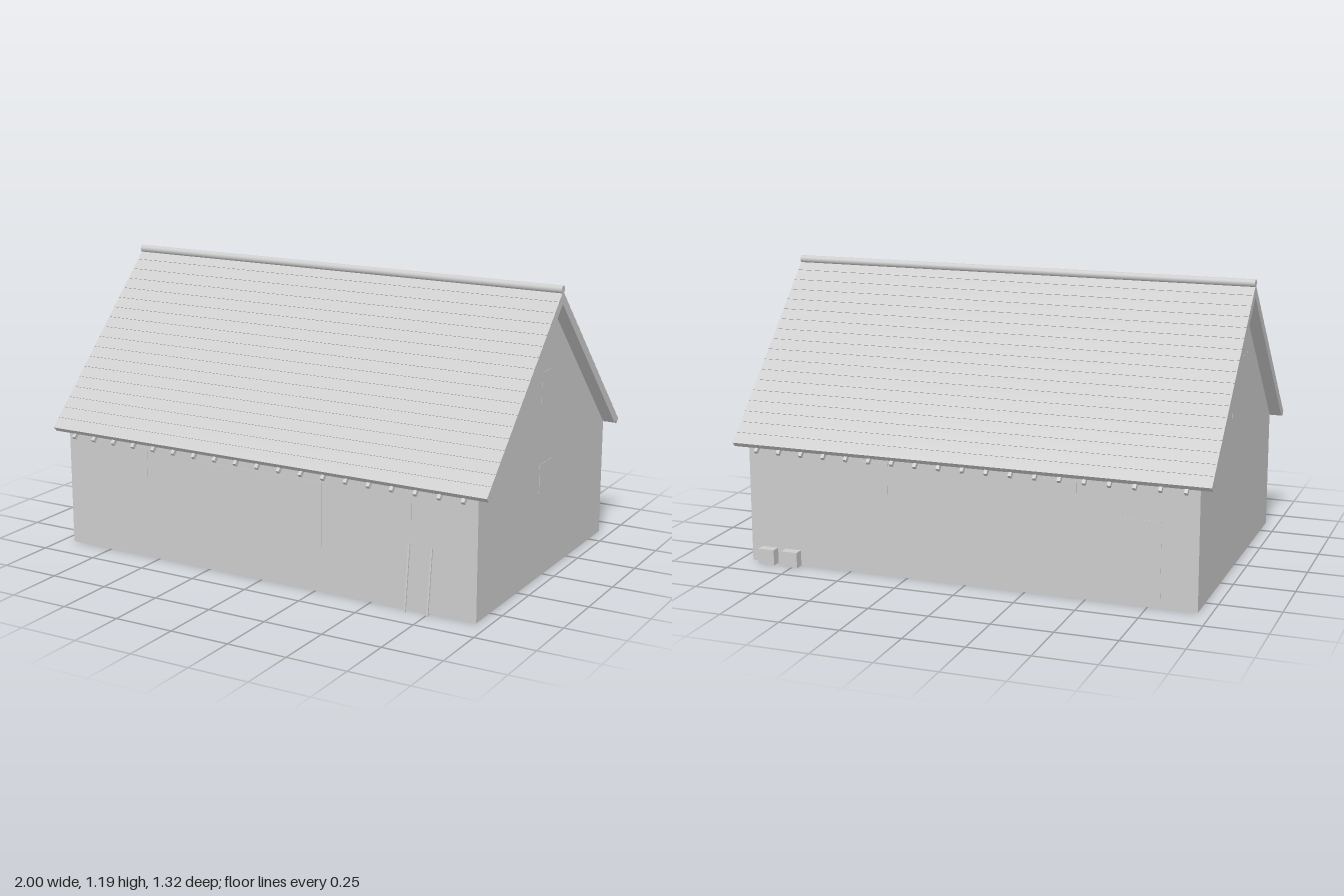
import * as THREE from 'three';

export function createModel() {
  const barn = new THREE.Group();
  barn.name = 'barn';
  const grey = new THREE.MeshStandardMaterial({ color: 0xcccccc, side: THREE.DoubleSide });
  grey.name = 'lightGrey';

  const add = (geometry, name, x = 0, y = 0, z = 0) => {
    const mesh = new THREE.Mesh(geometry, grey);
    mesh.name = name;
    mesh.position.set(x, y, z);
    barn.add(mesh);
    return mesh;
  };
  const box = (name, w, h, d, x, y, z) => add(new THREE.BoxGeometry(w, h, d), name, x, y, z);

  // Extrudes a half profile of [z, y] points, mirrored about z = 0, along x
  const alongX = (outer, inner, length) => {
    const mirror = (pts) => pts.slice().reverse().map(([z, y]) => [-z, y]);
    const pts = [...outer, ...inner, ...mirror(inner), ...mirror(outer)];
    const shape = new THREE.Shape(pts.map(([z, y]) => new THREE.Vector2(z, y)));
    return new THREE.ExtrudeGeometry(shape, { depth: length, bevelEnabled: false })
      .translate(0, 0, -length / 2).rotateY(Math.PI / 2);
  };

  const EAVE = 0.497, PEAK = 1.117, HX = 0.948, HZ = 0.62;

  // Walls: an open-bottomed shell
  for (const s of [1, -1]) {
    const long = add(new THREE.PlaneGeometry(2 * HX, EAVE), s > 0 ? 'frontWall' : 'backWall', 0, EAVE / 2, s * HZ);
    const gable = new THREE.Shape([[-HZ, 0], [HZ, 0], [HZ, EAVE], [0, PEAK], [-HZ, EAVE]].map((p) => new THREE.Vector2(...p)));
    const end = add(new THREE.ShapeGeometry(gable), s > 0 ? 'leftGable' : 'rightGable', s * HX, 0, 0);
    end.rotation.y = s * Math.PI / 2;
    if (s < 0) long.rotation.y = Math.PI;
  }

  // Tiled roof: 18 shallow stepped courses on each slope
  const courses = 18, pitch = 0.0367, step = 0.0015;
  const outer = [[0.0001, 1.166]];
  for (let i = 1; i <= courses; i++) {
    const z = i * pitch, y = 1.166 - z;
    outer.push([z + step, y + step], [z, y]);
  }
  add(alongX(outer, [[0.645, 0.489], [0.0001, 1.1339]], 2), 'tiledRoof');

  // Boarding beneath the tiles
  add(alongX([[0.0001, 1.1339], [0.628, 0.506]], [[0.619, 0.497], [0.0001, 1.1159]], 2), 'roofBoarding');

  // Ridge cap
  add(new THREE.CylinderGeometry(0.016, 0.016, 2, 16).rotateZ(Math.PI / 2), 'ridgeCap', 0, 1.173, 0);

  // Rafter tails under both eaves
  for (const s of [1, -1]) {
    for (let i = -9; i <= 9; i++) {
      const tail = box('rafterTail', 0.014, 0.016, 0.06, i * 0.1, 0.4935, s * 0.6325);
      tail.rotation.x = s * Math.PI / 4;
    }
  }

  // Doors and windows as thin plates
  const T = 0.003;
  box('frontDoor', 0.554, 0.45, T, 0, 0.225, HZ);
  box('backDoor', 0.19, 0.345, T, -0.705, 0.1725, -HZ);
  for (const s of [1, -1]) {
    box('frontWindow', 0.12, 0.13, T, s * 0.61, 0.405, HZ);
    box('backWindow', 0.13, 0.13, T, s * 0.395, 0.405, -HZ);
  }
  box('gableWindow', T, 0.12, 0.12, HX, 0.415, 0);
  box('loftWindow', T, 0.14, 0.12, HX, 0.78, 0);
  box('loftHatch', T, 0.25, 0.26, -HX, 0.745, 0);

  // Raised boarding on the upper part of each gable
  for (const s of [1, -1]) {
    const plate = alongX([[0.0001, PEAK - 0.002]], [[HZ - 0.002, EAVE]], 0.0016);
    add(plate, 'gableBoarding', s * HX, 0, 0);
  }

  // Poles leaning on the front wall
  for (const x of [0.664, 0.76]) {
    const pole = box('leaningPole', 0.007, 0.266, 0.006, x, 0.134, 0.639);
    pole.rotation.x = -0.118;
  }

  // Crates behind the barn
  for (const x of [0.865, 0.76]) box('crate', 0.07, 0.065, 0.04, x, 0.0325, -0.641);

  return barn;
}
